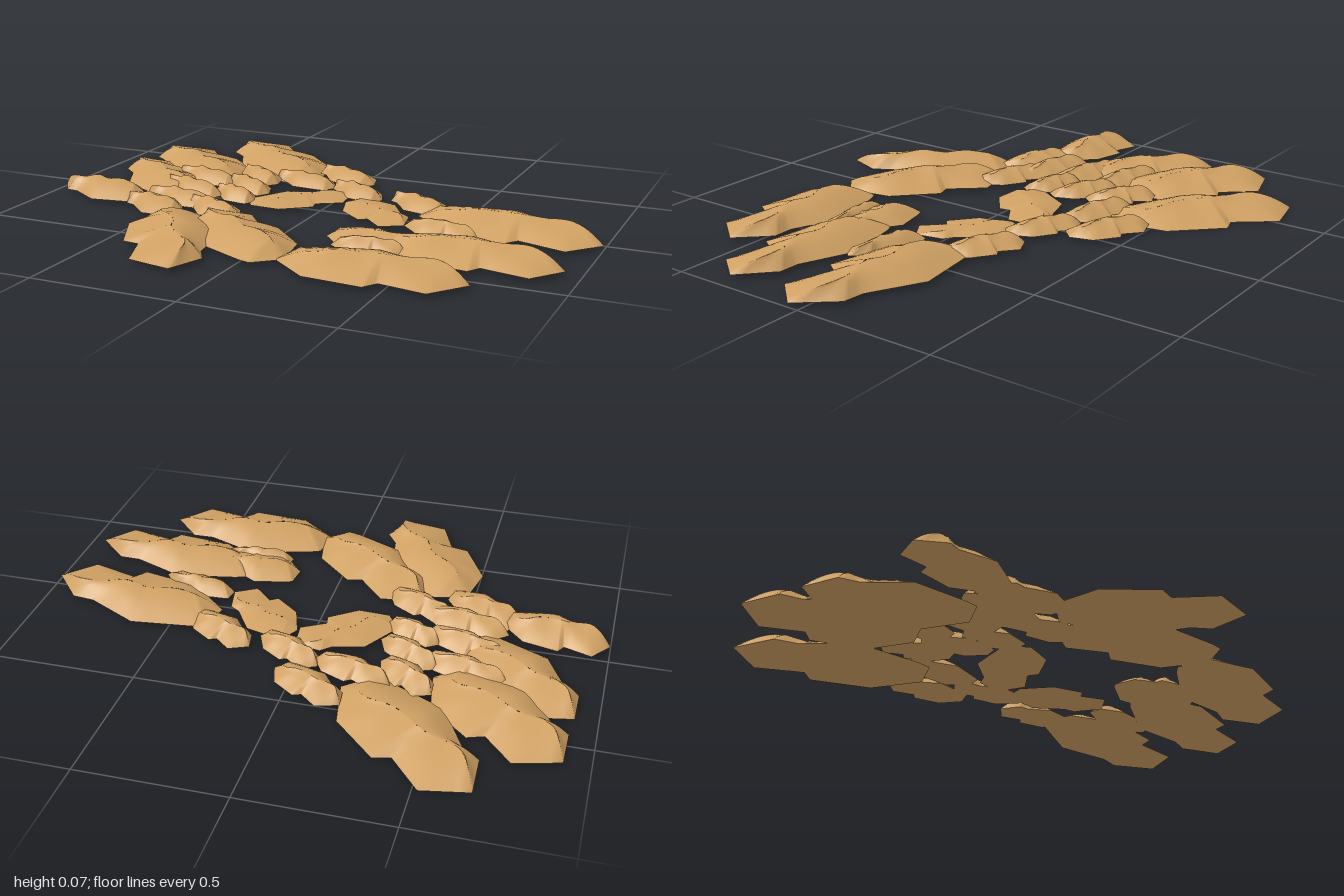
import * as THREE from 'three';

// Mound footprint in its own frame: u runs to the tip, v to the broad side
const FOOTPRINT = [
  [1, 0.05], [0.7, 0.8], [0.2, 0.63], [0.1, 0.93], [-0.54, 0.83], [-0.98, 0.13],
  [-0.93, -0.6], [-0.8, -0.72], [-0.12, -1.07], [0.44, -0.62], [0.68, -0.63],
];
const SPLIT = 4; // points per footprint edge
const RINGS = 7; // steps from the rim to the crest

// Crest point belonging to a rim point: a wavy line along the mound
function crest(u) {
  const r = 0.68 * u;
  return [r, -0.08 - 0.28 * r + 0.07 * Math.sin(r * 9)];
}

// Each row: centre x, z; tip vector x, z; side vector x, z
function moundGeometry([cx, cz, ax, az, bx, bz], base, height) {
  const rim = [];
  FOOTPRINT.forEach((p, i) => {
    const q = FOOTPRINT[(i + 1) % FOOTPRINT.length];
    for (let k = 0; k < SPLIT; k++) {
      const t = k / SPLIT;
      rim.push([p[0] + (q[0] - p[0]) * t, p[1] + (q[1] - p[1]) * t]);
    }
  });
  const n = rim.length;
  const pos = [];
  const index = [];
  const add = (u, v, y) => pos.push(cx + u * ax + v * bx, y, cz + u * az + v * bz);

  // Slopes: rounded on one side, hollowed below the crest on the other
  for (let j = 0; j <= RINGS; j++) {
    const t = j / RINGS;
    for (const [u, v] of rim) {
      const [cu, cv] = crest(u);
      const top = height * (1 - 0.45 * cu * cu + 0.06 * Math.sin(cu * 13));
      const round = Math.sin(t * Math.PI / 2);
      const hollow = 0.8 * Math.sin(t * Math.PI / 2) + 0.2 * t ** 5;
      const side = THREE.MathUtils.smoothstep(v, -0.4, 0.4);
      const bumps = 0.05 * Math.sin(u * 8 + v * 5) * Math.sin(t * Math.PI);
      add(u + (cu - u) * t, v + (cv - v) * t,
        base + top * (round + (hollow - round) * side + bumps));
    }
  }
  for (let j = 0; j < RINGS; j++) {
    for (let i = 0; i < n; i++) {
      const a = j * n + i, b = j * n + (i + 1) % n;
      index.push(a, a + n, b, b, a + n, b + n);
    }
  }

  // Flat underside
  const first = pos.length / 3;
  add(0, 0, base);
  rim.forEach(([u, v]) => add(u, v, base));
  for (let i = 0; i < n; i++) index.push(first, first + 1 + i, first + 1 + (i + 1) % n);

  const geometry = new THREE.BufferGeometry();
  geometry.setAttribute('position', new THREE.Float32BufferAttribute(pos, 3));
  geometry.setIndex(index);
  geometry.computeVertexNormals();
  return geometry;
}

const BACK_MOUNDS = [
  [-0.43, -0.57, -0.25, -0.22, 0.11, -0.13],
  [-0.69, -0.4, -0.23, -0.18, 0.11, -0.13],
  [-0.72, -0.17, -0.21, -0.18, 0.1, -0.11],
];
const LARGE_MOUNDS = [
  [0.67, -0.015, 0.33, 0.045, 0, 0.165],
  [0.635, 0.31, 0.315, 0.015, 0.015, 0.15],
  [0.415, 0.56, 0.315, 0, 0, 0.16],
  [-0.1, 0.4, -0.225, -0.19, 0.1, -0.11],
  [-0.3, 0.525, 0.16, 0.265, -0.145, 0.065],
  [-0.81, 0.11, -0.19, -0.03, 0, -0.115],
];
const SMALL_RIGHT_MOUNDS = [
  [0.32, 0.3, 0.17, 0.02, 0, 0.11],
  [0.33, 0.37, 0.13, 0, 0, 0.06],
  [0.48, 0.11, 0.14, 0.03, 0, 0.07],
  [0.305, -0.165, -0.125, -0.075, 0.04, -0.07],
  [0.045, -0.225, -0.12, -0.07, 0.03, -0.065],
  [-0.07, -0.41, -0.13, -0.08, 0.05, -0.065],
  [-0.19, -0.29, -0.14, -0.05, 0.03, -0.07],
];
const SMALL_LEFT_MOUNDS = [
  [-0.37, -0.28, -0.1, -0.08, 0.04, -0.06],
  [-0.55, -0.19, -0.15, -0.05, 0.03, -0.07],
  [-0.35, -0.14, -0.11, -0.07, 0.03, -0.06],
  [-0.53, -0.04, -0.15, -0.06, 0.02, -0.07],
  [-0.34, -0.01, -0.1, -0.05, 0.02, -0.06],
  [-0.5, 0.1, -0.16, -0.04, 0.01, -0.08],
  [-0.55, 0.2, -0.14, -0.05, 0, -0.1],
  [-0.33, 0.17, -0.13, -0.07, 0.03, -0.07],
];
const LOW_MOUNDS = [
  [-0.105, -0.06, 0.14, -0.13, 0.07, 0.09],
  [0.2, -0.015, 0.145, 0.1, -0.04, 0.1],
];

export function createModel() {
  const model = new THREE.Group();
  model.name = 'duneField';
  const sand = new THREE.MeshStandardMaterial({ color: 0xcfa063 });
  sand.name = 'sand';

  const addMounds = (name, rows, base, height) => {
    const group = new THREE.Group();
    group.name = name + 's';
    for (const row of rows) {
      const mesh = new THREE.Mesh(moundGeometry(row, base, height), sand);
      mesh.name = name;
      group.add(mesh);
    }
    model.add(group);
  };
  addMounds('backDune', BACK_MOUNDS, 0, 0.053);
  addMounds('largeDune', LARGE_MOUNDS, 0.013, 0.053);
  addMounds('smallRightDune', SMALL_RIGHT_MOUNDS, 0.013, 0.04);
  addMounds('smallLeftDune', SMALL_LEFT_MOUNDS, 0.013, 0.042);
  addMounds('lowDune', LOW_MOUNDS, 0.013, 0.018);
  return model;
}
